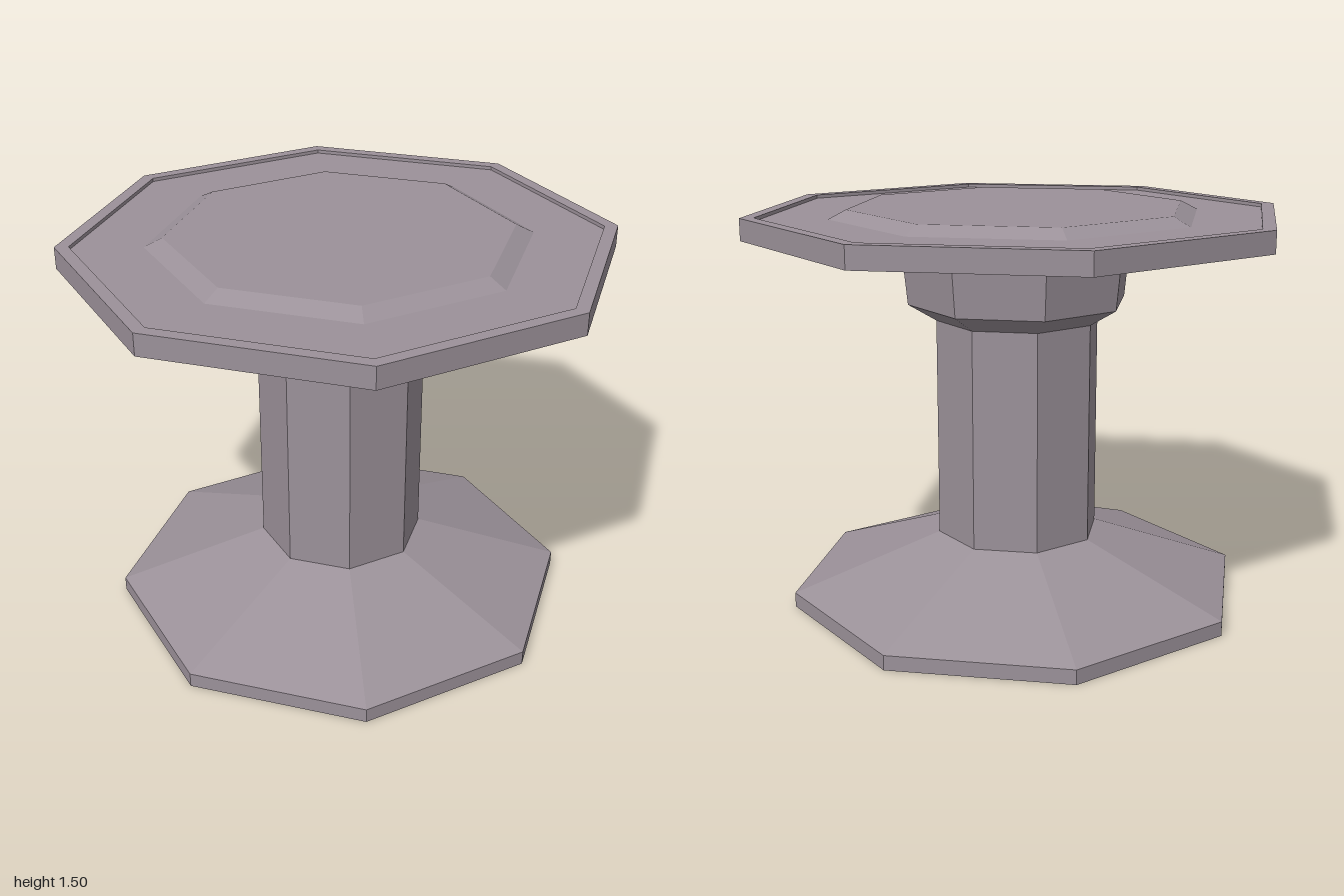
import * as THREE from 'three';

// Eight-sided turned part; profile is [radius, y] listed from the underside round to the top.
function turned(name, profile, material) {
  const points = profile.map(([r, y]) => new THREE.Vector2(r, y));
  const mesh = new THREE.Mesh(new THREE.LatheGeometry(points, 8), material);
  mesh.name = name;
  return mesh;
}

export function createModel() {
  const group = new THREE.Group();
  group.name = 'pedestalTable';
  const material = new THREE.MeshStandardMaterial({ color: 0x9b9199, flatShading: true });

  // Flared foot with a thin upright edge
  group.add(turned('base', [[0, 0], [0.865, 0], [0.865, 0.055], [0.308, 0.257]], material));

  // Straight column
  group.add(turned('column', [[0.308, 0.257], [0.308, 1.08]], material));

  // Collar widening under the top
  group.add(turned('collar', [[0.308, 1.08], [0.412, 1.143], [0.437, 1.395]], material));

  // Top slab: raised rim, shallow recess and bevelled centre panel
  group.add(turned('tableTop', [
    [0, 1.395], [1, 1.395], [1, 1.475], [0.95, 1.475],
    [0.95, 1.462], [0.692, 1.462], [0.627, 1.495], [0, 1.495],
  ], material));

  return group;
}
